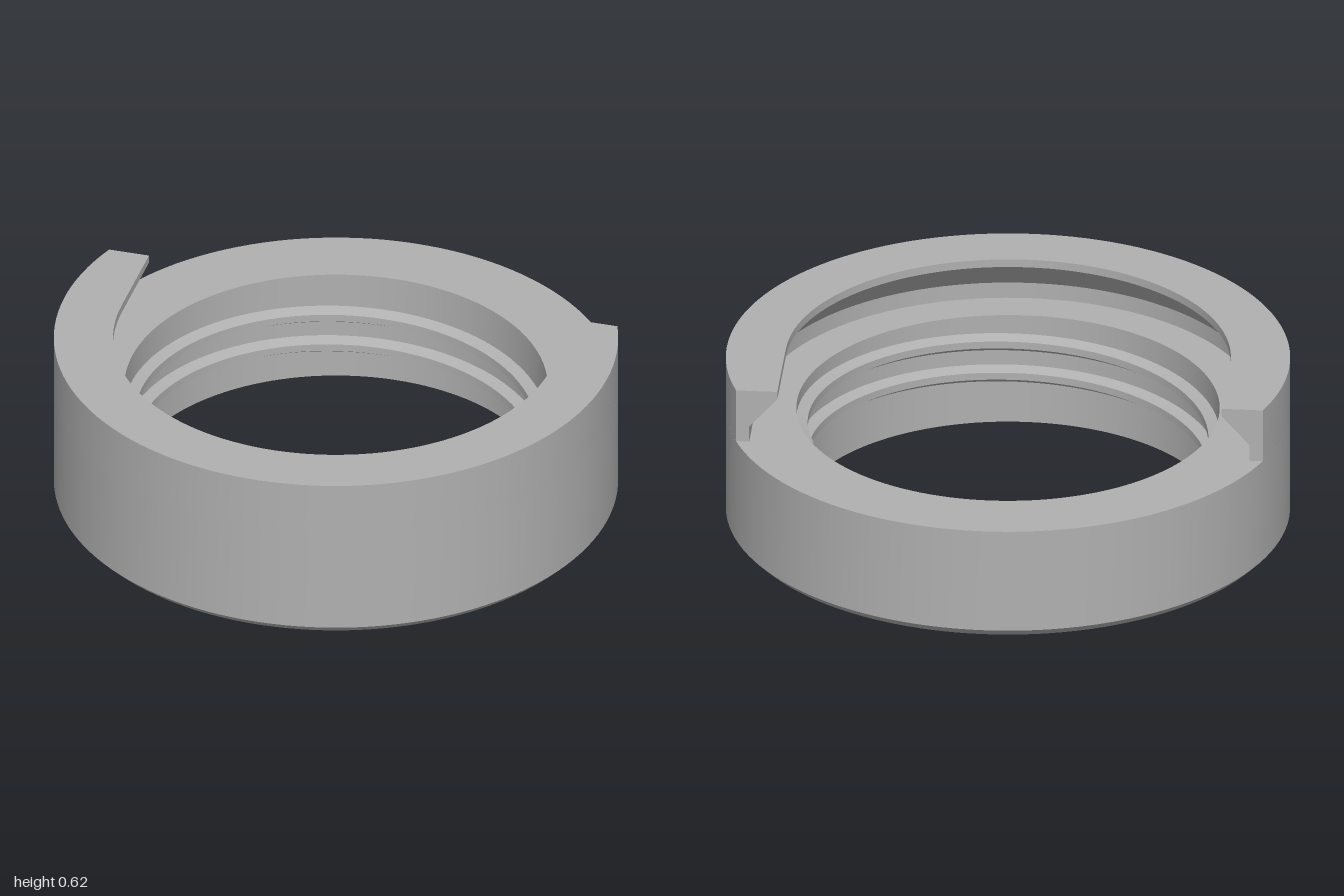
import * as THREE from 'three';
import { toCreasedNormals } from 'three/addons/utils/BufferGeometryUtils.js';

// Skin a row of cross-sections (each counter-clockwise, seen against the sweep direction).
function sweep(sections, capped) {
  const pos = [];
  const tri = (...pts) => pts.forEach((p) => pos.push(p.x, p.y, p.z));
  const n = sections[0].length;
  for (let i = 0; i < sections.length - 1; i++) {
    const a = sections[i], b = sections[i + 1];
    for (let p = 0; p < n; p++) {
      const q = (p + 1) % n;
      tri(a[p], a[q], b[p]);
      tri(a[q], b[q], b[p]);
    }
  }
  if (capped) {
    const s = sections[0], e = sections[sections.length - 1];
    for (let p = 1; p < n - 1; p++) {
      tri(s[0], s[p + 1], s[p]);
      tri(e[0], e[p], e[p + 1]);
    }
  }
  const geo = new THREE.BufferGeometry();
  geo.setAttribute('position', new THREE.Float32BufferAttribute(pos, 3));
  return toCreasedNormals(geo, 0.5);
}

// Place a [radius, height] profile at an angle around the axis, shifted by dy.
const around = (profile, angle, dy = 0) =>
  profile.map(([r, y]) => new THREE.Vector3(r * Math.cos(angle), y + dy, r * Math.sin(angle)));

export function createModel() {
  const group = new THREE.Group();
  const grey = new THREE.MeshStandardMaterial({ color: 0xb0b0b0 });
  grey.name = 'grey';
  const add = (name, geo) => {
    const mesh = new THREE.Mesh(geo, grey);
    mesh.name = name;
    group.add(mesh);
  };

  // Base ring with a chamfered lower rim
  const ringProfile = [[1, 0.42], [0.75, 0.42], [0.75, 0], [0.97, 0], [1, 0.03]];
  const ring = [];
  for (let i = 0; i <= 128; i++) ring.push(around(ringProfile, (i / 128) * Math.PI * 2));
  add('baseRing', sweep(ring, false));

  // Undercut U-shaped lip: half circle in front, straight inner walls running back
  const lipProfile = [[1, 0.62], [0.79, 0.62], [0.79, 0.59], [0.89, 0.48], [0.89, 0.42], [1, 0.42]];
  const straight = (side, z) => lipProfile.map(([r, y]) =>
    new THREE.Vector3(side * (r === 1 ? Math.sqrt(1 - z * z) : r), y, z));
  const lip = [];
  const steps = 8, back = -0.35;
  for (let i = 0; i < steps; i++) lip.push(straight(1, back * (1 - i / steps)));
  for (let i = 0; i <= 64; i++) lip.push(around(lipProfile, (i / 64) * Math.PI));
  for (let i = 1; i <= steps; i++) lip.push(straight(-1, (back * i) / steps));
  add('undercutLip', sweep(lip, true));

  // Internal helical thread of about two turns
  const threadProfile = [[0.753, 0.385], [0.71, 0.37], [0.71, 0.343], [0.753, 0.315]];
  const turns = 2.04, pitch = 0.123, start = -0.33, count = 256;
  const thread = [];
  for (let i = 0; i <= count; i++) {
    const t = (turns * i) / count;
    thread.push(around(threadProfile, start + t * Math.PI * 2, -t * pitch));
  }
  add('innerThread', sweep(thread, true));

  return group;
}
